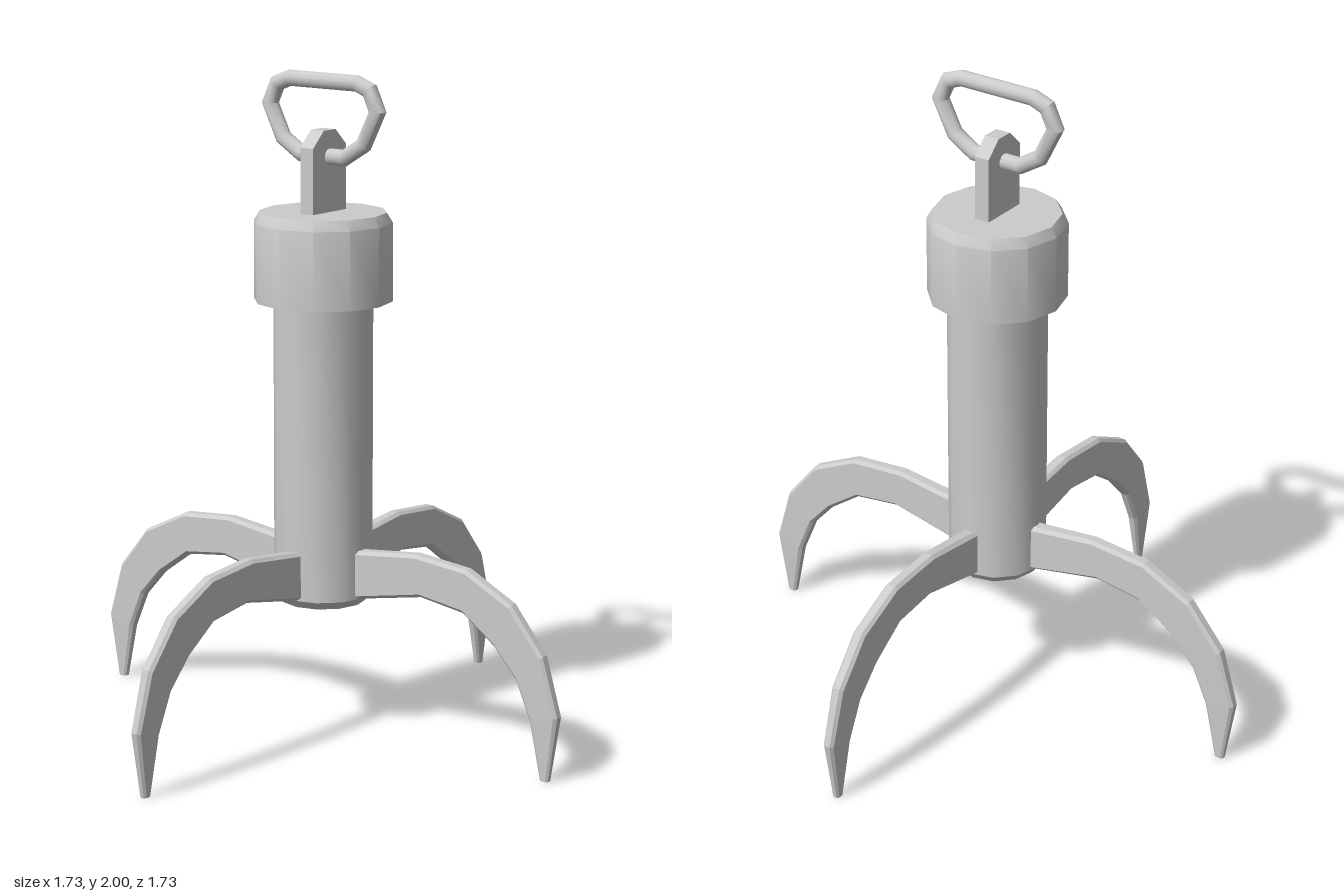
import * as THREE from 'three';
import { toCreasedNormals } from 'three/addons/utils/BufferGeometryUtils.js';

const V = (x, y, z = 0) => new THREE.Vector3(x, y, z);
const smooth = new THREE.MeshStandardMaterial({ color: 0xcccccc });
const flat = new THREE.MeshStandardMaterial({ color: 0xcccccc, flatShading: true });

function part(name, geometry, material) {
  const mesh = new THREE.Mesh(geometry, material);
  mesh.name = name;
  return mesh;
}

// Skin a row of equal cross-sections, either joined end to end or capped
function loft(sections, closed) {
  const n = sections[0].length, count = sections.length, index = [];
  for (let i = 0; i < (closed ? count : count - 1); i++) {
    const p = i * n, q = ((i + 1) % count) * n;
    for (let j = 0; j < n; j++) {
      const k = (j + 1) % n;
      index.push(p + j, p + k, q + j, p + k, q + k, q + j);
    }
  }
  if (!closed) {
    const e = (count - 1) * n;
    for (let j = 1; j < n - 1; j++) index.push(0, j + 1, j, e, e + j, e + j + 1);
  }
  const g = new THREE.BufferGeometry().setFromPoints(sections.flat());
  g.setIndex(index);
  g.computeVertexNormals();
  return g;
}

// Turned part with crisp chamfers
function turned(points) {
  const profile = points.map(([r, y]) => new THREE.Vector2(r, y));
  return toCreasedNormals(new THREE.LatheGeometry(profile, 12), 0.6);
}

// Curved claw: outer edge, inner edge and half thickness at each station
function clawGeometry() {
  const stations = [
    [0.10, 0.574, 0.10, 0.422, 0.027],
    [0.15, 0.580, 0.15, 0.432, 0.027],
    [0.357, 0.604, 0.378, 0.477, 0.023],
    [0.54, 0.588, 0.53, 0.456, 0.022],
    [0.70, 0.51, 0.643, 0.375, 0.021],
    [0.812, 0.375, 0.72, 0.29, 0.020],
    [0.865, 0.20, 0.77, 0.175, 0.018],
    [0.834, 0.0, 0.806, 0.0, 0.011],
  ];
  return loft(stations.map(([ox, oy, ix, iy, t]) => {
    const outer = V(ox, oy), inner = V(ix, iy);
    const inset = Math.min(0.01 / outer.distanceTo(inner), 0.25);
    const at = (f, z) => outer.clone().lerp(inner, f).setZ(z);
    const e = t * 0.55;
    return [at(0, -e), at(0, e), at(inset, t), at(1 - inset, t),
      at(1, e), at(1, -e), at(1 - inset, -t), at(inset, -t)];
  }), false);
}

// Link of round bar, mitred at each bend
function linkGeometry(radius, sides) {
  const right = [[0.125, 1.976], [0.172, 1.958], [0.2, 1.898], [0.15, 1.798], [0.08, 1.755]];
  const left = right.map(([x, y]) => [-x, y]).reverse();
  const path = [...right, ...left].map(([x, y]) => V(x, y));
  const normal = (a, b) => V(a.y - b.y, b.x - a.x).normalize();
  return loft(path.map((p, i) => {
    const before = normal(path.at(i - 1), p);
    const after = normal(p, path[(i + 1) % path.length]);
    const miter = before.clone().add(after).normalize();
    miter.divideScalar(miter.dot(after));
    return Array.from({ length: sides }, (_, j) => {
      const a = (j / sides) * Math.PI * 2;
      return p.clone().addScaledVector(miter, radius * Math.cos(a)).setZ(radius * Math.sin(a));
    });
  }), true);
}

export function createModel() {
  const model = new THREE.Group();
  model.name = 'grapplingHook';

  // Shaft and cap
  model.add(part('shaft', turned([[0, 0.405], [0.13, 0.405], [0.15, 0.43], [0.15, 1.35]]), smooth));
  model.add(part('cap', turned([
    [0, 1.325], [0.208, 1.325], [0.208, 1.56], [0.19, 1.59], [0, 1.59],
  ]), smooth));

  // Lug on top of the cap
  const outline = new THREE.Shape([
    [-0.078, 1.57], [0.078, 1.57], [0.078, 1.785], [0.028, 1.833], [-0.028, 1.833], [-0.078, 1.785],
  ].map(([x, y]) => new THREE.Vector2(x, y)));
  const lug = new THREE.ExtrudeGeometry(outline, { depth: 0.048, bevelEnabled: false });
  lug.translate(0, 0, -0.024).rotateY(Math.PI / 2);
  model.add(part('lug', lug, flat));

  // Rope link
  model.add(part('link', toCreasedNormals(linkGeometry(0.024, 10), 0.65), smooth));

  // Four claws around the shaft
  const claw = clawGeometry();
  ['leftClaw', 'backClaw', 'rightClaw', 'frontClaw'].forEach((name, i) => {
    const mesh = part(name, claw, flat);
    mesh.rotation.y = i * Math.PI / 2;
    model.add(mesh);
  });

  return model;
}
